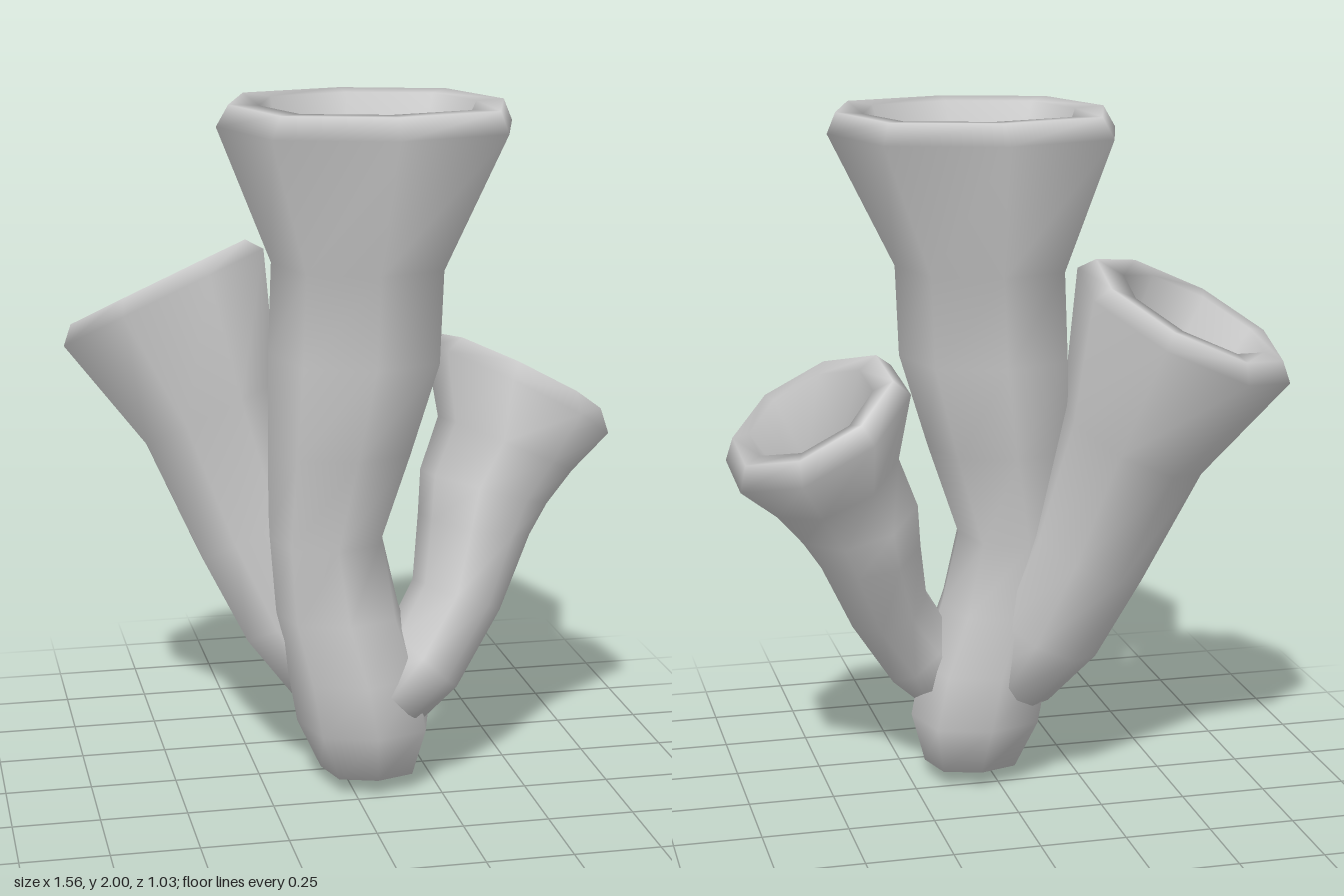
import * as THREE from 'three';

const SIDES = 8;
const material = new THREE.MeshStandardMaterial({ color: 0xcccccc, side: THREE.DoubleSide });

// Lofts octagonal rings [x, y, z, radiusU, radiusV, normal] from the root, over the lip and down the inside.
// Every second corner is pushed out by the factor diagonal.
function loftTube(name, rings, phase, diagonal) {
  const positions = [], index = [];
  for (const [x, y, z, ru, rv, normal] of rings) {
    const n = new THREE.Vector3(...normal).normalize();
    const u = new THREE.Vector3(n.y, -n.x, 0).normalize();
    const v = u.clone().cross(n);
    for (let s = 0; s < SIDES; s++) {
      const a = (s + phase) / SIDES * Math.PI * 2;
      const k = s % 2 ? diagonal : 1;
      const p = new THREE.Vector3(x, y, z)
        .addScaledVector(u, k * ru * Math.cos(a))
        .addScaledVector(v, k * rv * Math.sin(a));
      positions.push(p.x, p.y, p.z);
    }
  }
  for (let r = 0; r < rings.length - 1; r++) {
    for (let s = 0; s < SIDES; s++) {
      const a0 = r * SIDES + s, a1 = r * SIDES + (s + 1) % SIDES;
      const b0 = a0 + SIDES, b1 = a1 + SIDES;
      index.push(a0, b0, a1, b0, b1, a1);
    }
  }
  const geometry = new THREE.BufferGeometry();
  geometry.setAttribute('position', new THREE.Float32BufferAttribute(positions, 3));
  geometry.setIndex(index);
  geometry.computeVertexNormals();
  const mesh = new THREE.Mesh(geometry, material);
  mesh.name = name;
  return mesh;
}

export function createModel() {
  const group = new THREE.Group();
  group.name = 'tubeCluster';

  // Tall central tube with a flared mouth
  const up = [0, 1, 0];
  group.add(loftTube('centralTube', [
    [0.06, 0, 0.1, 0.002, 0.002, up],
    [0.06, 0.05, 0.1, 0.142, 0.145, up],
    [0.045, 0.2, 0.1, 0.197, 0.21, up],
    [0.015, 0.36, 0.1, 0.195, 0.215, up],
    [-0.035, 0.54, 0.09, 0.185, 0.21, up],
    [-0.065, 0.76, 0.08, 0.165, 0.2, up],
    [-0.02, 1.03, 0.085, 0.21, 0.245, up],
    [0.02, 1.3, 0.095, 0.25, 0.295, up],
    [0.03, 1.56, 0.095, 0.25, 0.295, up],
    [0.05, 1.94, 0.093, 0.42, 0.424, up],
    [0.055, 2, 0.093, 0.39, 0.394, up],
    [0.06, 1.995, 0.085, 0.308, 0.295, up],
    [0.04, 1.56, 0.09, 0.2, 0.21, up],
    [-0.02, 1.03, 0.085, 0.1, 0.12, up],
    [-0.06, 0.7, 0.08, 0.002, 0.002, up],
  ], 0, 1.085));

  // Short tube that bends upward and leans to the left side
  const leftTilt = [0.55, 1, -0.17];
  group.add(loftTube('leftTube', [
    [0.1, 0.26, 0.15, 0.002, 0.002, [0.8, 0.8, 0]],
    [0.12, 0.288, 0.155, 0.11, 0.155, [0.8, 0.8, 0]],
    [0.212, 0.39, 0.15, 0.127, 0.16, [0.8, 0.85, -0.05]],
    [0.32, 0.56, 0.11, 0.127, 0.185, [0.4, 1, -0.2]],
    [0.385, 0.755, 0.05, 0.158, 0.235, [0.2, 1, -0.15]],
    [0.42, 0.86, 0.025, 0.186, 0.24, [0.3, 1, -0.15]],
    [0.49, 0.98, 0, 0.205, 0.26, [0.46, 1, -0.15]],
    [0.535, 1.13, -0.04, 0.295, 0.315, leftTilt],
    [0.55, 1.185, -0.045, 0.255, 0.275, leftTilt],
    [0.555, 1.178, -0.05, 0.195, 0.22, leftTilt],
    [0.48, 0.98, 0, 0.14, 0.18, leftTilt],
    [0.4, 0.76, 0.05, 0.1, 0.13, leftTilt],
    [0.34, 0.6, 0.1, 0.002, 0.002, leftTilt],
  ], 0.56, 1));

  // Middle-height tube leaning to the right side and back
  const rightTilt = [-0.45, 1, -0.25];
  group.add(loftTube('rightTube', [
    [0, 0.27, 0.06, 0.002, 0.002, rightTilt],
    [-0.05, 0.31, 0.035, 0.125, 0.14, rightTilt],
    [-0.14, 0.48, -0.03, 0.165, 0.165, rightTilt],
    [-0.245, 0.73, -0.08, 0.185, 0.185, rightTilt],
    [-0.36, 1.08, -0.15, 0.225, 0.225, rightTilt],
    [-0.485, 1.41, -0.22, 0.343, 0.33, rightTilt],
    [-0.5, 1.455, -0.225, 0.3, 0.295, rightTilt],
    [-0.51, 1.445, -0.235, 0.225, 0.225, rightTilt],
    [-0.36, 1.08, -0.15, 0.165, 0.165, rightTilt],
    [-0.245, 0.73, -0.08, 0.11, 0.11, rightTilt],
    [-0.19, 0.6, -0.06, 0.002, 0.002, rightTilt],
  ], 0.5, 1));

  return group;
}
